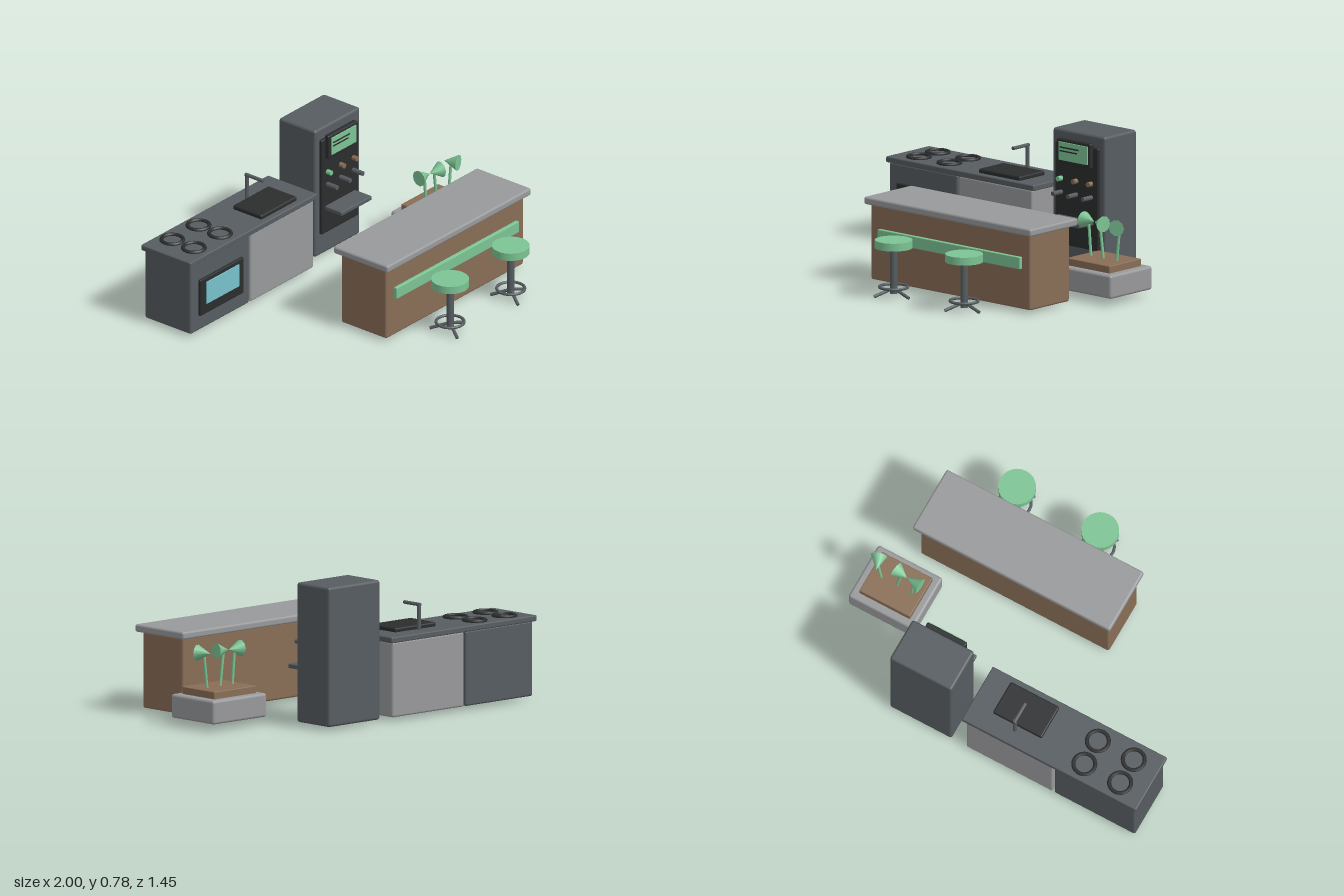
import * as THREE from 'three';
import { RoundedBoxGeometry } from 'three/addons/geometries/RoundedBoxGeometry.js';

const mat = (name, color) => {
  const m = new THREE.MeshStandardMaterial({ color });
  m.name = name;
  return m;
};

export function createModel() {
  const slate = mat('slate', 0x565c60);
  const black = mat('black', 0x2b2c2d);
  const grey = mat('light grey', 0x98999b);
  const brown = mat('brown', 0x896e56);
  const green = mat('green', 0x7cc494);
  const glass = mat('blue glass', 0x78c0cc);

  const root = new THREE.Group();
  root.name = 'kitchen';
  const group = (name, x = 0, y = 0, z = 0) => {
    const g = new THREE.Group();
    g.name = name;
    g.position.set(x, y, z);
    root.add(g);
    return g;
  };
  const add = (parent, name, geo, material, x = 0, y = 0, z = 0) => {
    const m = new THREE.Mesh(geo, material);
    m.name = name;
    m.position.set(x, y, z);
    parent.add(m);
    return m;
  };
  // Box given by its limits on each axis, with an optional rounded edge
  const box = (parent, name, material, [x0, x1], [y0, y1], [z0, z1], r = 0) => {
    const s = [x1 - x0, y1 - y0, z1 - z0];
    const geo = r ? new RoundedBoxGeometry(...s, 2, r) : new THREE.BoxGeometry(...s);
    return add(parent, name, geo, material, (x0 + x1) / 2, (y0 + y1) / 2, (z0 + z1) / 2);
  };
  // Cylinder from point a to point b
  const rod = (parent, name, material, a, b, r, sides = 10, rTop = r) => {
    const p = new THREE.Vector3(...a), q = new THREE.Vector3(...b);
    const d = q.clone().sub(p);
    const m = add(parent, name, new THREE.CylinderGeometry(rTop, r, d.length(), sides), material);
    m.position.copy(p).add(q).multiplyScalar(0.5);
    m.quaternion.setFromUnitVectors(new THREE.Vector3(0, 1, 0), d.normalize());
    return m;
  };

  // Back counter with oven, hob and sink
  const counter = group('backCounter');
  box(counter, 'ovenCabinet', slate, [-0.985, -0.49], [0.02, 0.43], [-0.715, -0.395], 0.012);
  box(counter, 'sinkCabinet', grey, [-0.48, 0.05], [0.02, 0.43], [-0.715, -0.395], 0.012);
  box(counter, 'worktop', slate, [-1, 0.07], [0.427, 0.46], [-0.73, -0.385], 0.007);
  box(counter, 'ovenDoor', black, [-0.92, -0.555], [0.11, 0.325], [-0.4, -0.38], 0.006);
  box(counter, 'ovenWindow', glass, [-0.875, -0.6], [0.17, 0.3], [-0.381, -0.374]);
  for (const x of [-0.85, -0.63]) {
    for (const z of [-0.635, -0.485]) {
      const ring = add(counter, 'burner', new THREE.TorusGeometry(0.059, 0.011, 8, 28), black, x, 0.463, z);
      ring.rotation.x = Math.PI / 2;
    }
  }
  box(counter, 'sink', black, [-0.36, -0.06], [0.455, 0.483], [-0.62, -0.42], 0.009);
  rod(counter, 'tapPost', slate, [-0.21, 0.46, -0.645], [-0.21, 0.605, -0.645], 0.011);
  rod(counter, 'tapSpout', slate, [-0.21, 0.598, -0.655], [-0.21, 0.598, -0.53], 0.01);

  // Drinks machine
  const machine = group('drinksMachine');
  box(machine, 'cabinet', slate, [0.14, 0.52], [0.02, 0.78], [-0.715, -0.46], 0.015);
  box(machine, 'frontPanel', black, [0.175, 0.485], [0.15, 0.715], [-0.47, -0.442], 0.008);
  box(machine, 'screenBezel', black, [0.205, 0.45], [0.6, 0.738], [-0.45, -0.42], 0.008);
  box(machine, 'screen', green, [0.225, 0.432], [0.622, 0.722], [-0.421, -0.413]);
  box(machine, 'screenLine', black, [0.235, 0.372], [0.69, 0.697], [-0.414, -0.41]);
  box(machine, 'screenLine', black, [0.235, 0.36], [0.67, 0.677], [-0.414, -0.41]);
  [0.22, 0.33, 0.437].forEach((x, i) => {
    rod(machine, 'button', i ? brown : green, [x, 0.515, -0.445], [x, 0.515, -0.412], 0.014, 12);
    rod(machine, 'nozzle', slate, [x, 0.44, -0.45], [x, 0.44, -0.372], 0.013);
  });
  box(machine, 'dripTray', slate, [0.2, 0.455], [0.29, 0.315], [-0.445, -0.325], 0.006);

  // Island bar
  const island = group('islandBar');
  box(island, 'body', brown, [-0.355, 0.8], [0.02, 0.437], [0.13, 0.445], 0.012);
  box(island, 'barTop', grey, [-0.38, 0.83], [0.433, 0.475], [0.095, 0.475], 0.012);
  box(island, 'frontStripe', green, [-0.29, 0.74], [0.24, 0.307], [0.44, 0.464], 0.005);

  // Stools with three splayed feet and a foot ring
  for (const x of [-0.03, 0.48]) {
    const stool = group('stool', x, 0, 0.62);
    rod(stool, 'seat', green, [0, 0.272, 0], [0, 0.315, 0], 0.102, 24);
    rod(stool, 'post', slate, [0, 0.02, 0], [0, 0.275, 0], 0.021, 12);
    const ring = add(stool, 'footRing', new THREE.TorusGeometry(0.076, 0.008, 8, 28), slate, 0, 0.056, 0);
    ring.rotation.x = Math.PI / 2;
    for (let i = 0; i < 3; i++) {
      const a = (i * Math.PI * 2) / 3, c = Math.cos(a), s = Math.sin(a);
      rod(stool, 'foot', slate, [0, 0.05, 0], [0.11 * c, 0.009, 0.11 * s], 0.009, 8);
    }
  }

  // Planter with three trumpet flowers
  const planter = group('planter');
  box(planter, 'trough', grey, [0.6, 0.995], [0.04, 0.17], [-0.317, 0.018], 0.015);
  box(planter, 'soil', brown, [0.64, 0.95], [0.16, 0.21], [-0.275, -0.022], 0.005);
  const flowers = [
    { foot: 0.7, mouth: [0.643, 0.4, -0.155], tip: [0.725, 0.4, -0.148] },
    { foot: 0.79, mouth: [0.803, 0.4, -0.135], tip: [0.728, 0.4, -0.15] },
    { foot: 0.885, mouth: [0.92, 0.4, -0.11], tip: [0.895, 0.4, -0.188] },
  ];
  for (const { foot, mouth, tip } of flowers) {
    const top = [(mouth[0] + tip[0]) / 2, 0.39, -0.15];
    rod(planter, 'stem', green, [foot, 0.2, -0.15], top, 0.008, 8);
    rod(planter, 'bloom', green, mouth, tip, 0.045, 10, 0);
  }
  return root;
}
